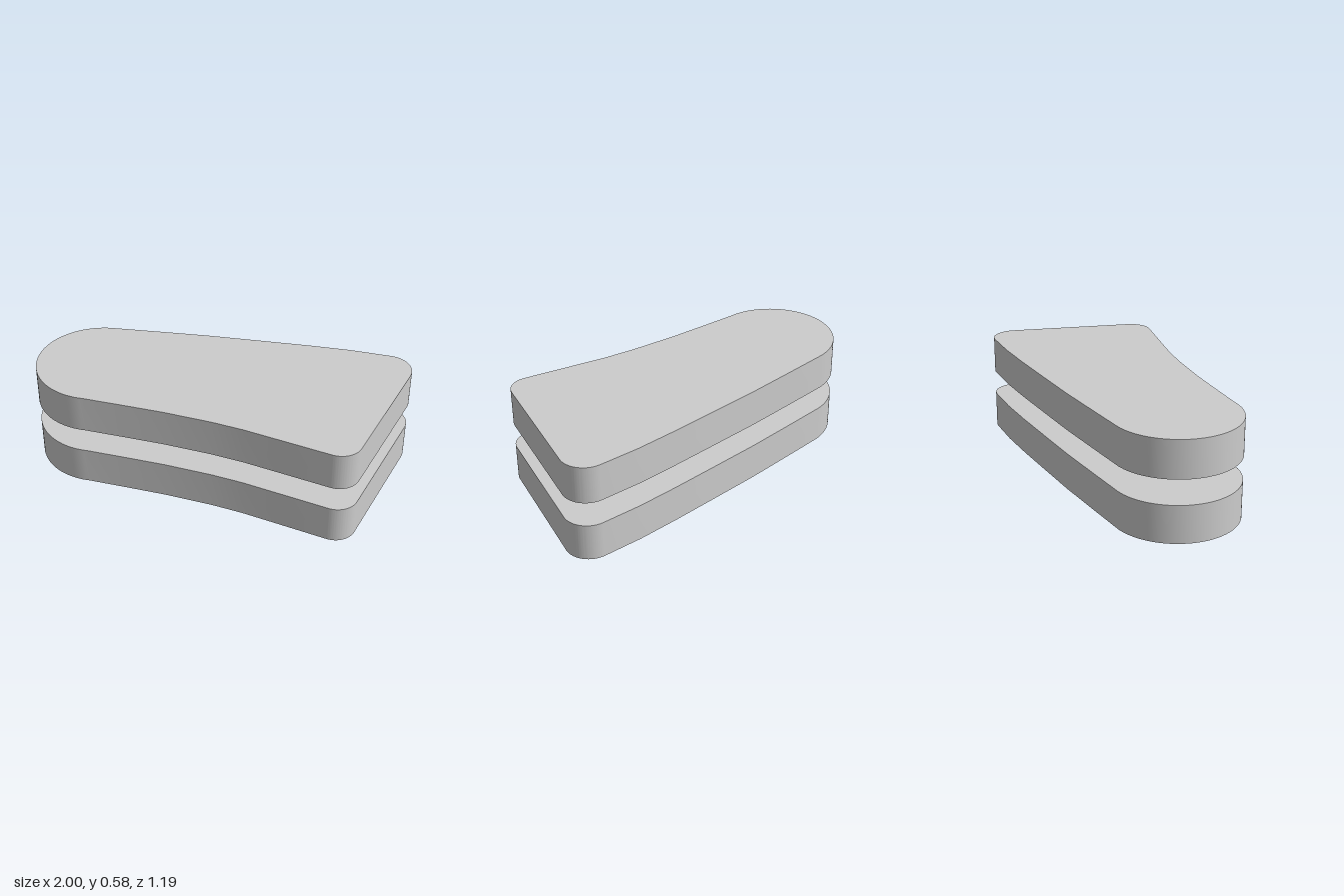
import * as THREE from 'three';
import { toCreasedNormals } from 'three/addons/utils/BufferGeometryUtils.js';

const THICKNESS = 0.22;
const LEVELS = { lowerSlab: 0, upperSlab: 0.365 };

// Tapered outline in plan; shape y is -z
function slabOutline() {
  const rad = THREE.MathUtils.degToRad;
  const shape = new THREE.Shape();
  const arc = (x, y, r, from, to) => shape.absarc(x, y, r, rad(from), rad(to), false);
  const edge = (points) => points.forEach(([x, y]) => shape.lineTo(x, y));

  arc(0.86, 0.455, 0.14, 0, 102); // rear corner
  edge([[0.6, 0.542], [0.36, 0.475], [0.08, 0.39], [-0.22, 0.298], [-0.5, 0.203]]);
  arc(-0.635, -0.229, 0.365, 112, 287); // broad rounded end
  edge([[-0.3, -0.532], [-0.08, -0.489], [0.2, -0.447], [0.38, -0.43], [0.6, -0.422]]);
  arc(0.88, -0.292, 0.12, -88, 0); // front corner
  shape.closePath();
  return shape;
}

export function createModel() {
  const group = new THREE.Group();
  group.name = 'slabPair';
  const material = new THREE.MeshStandardMaterial({ color: 0xcccccc });

  const extruded = new THREE.ExtrudeGeometry(slabOutline(), {
    depth: THICKNESS, bevelEnabled: false, curveSegments: 24,
  });
  extruded.rotateX(-Math.PI / 2);
  const geometry = toCreasedNormals(extruded, 0.5);

  // Two identical slabs, one floating above the other
  for (const [name, y] of Object.entries(LEVELS)) {
    const slab = new THREE.Mesh(geometry, material);
    slab.name = name;
    slab.position.y = y;
    group.add(slab);
  }
  return group;
}
